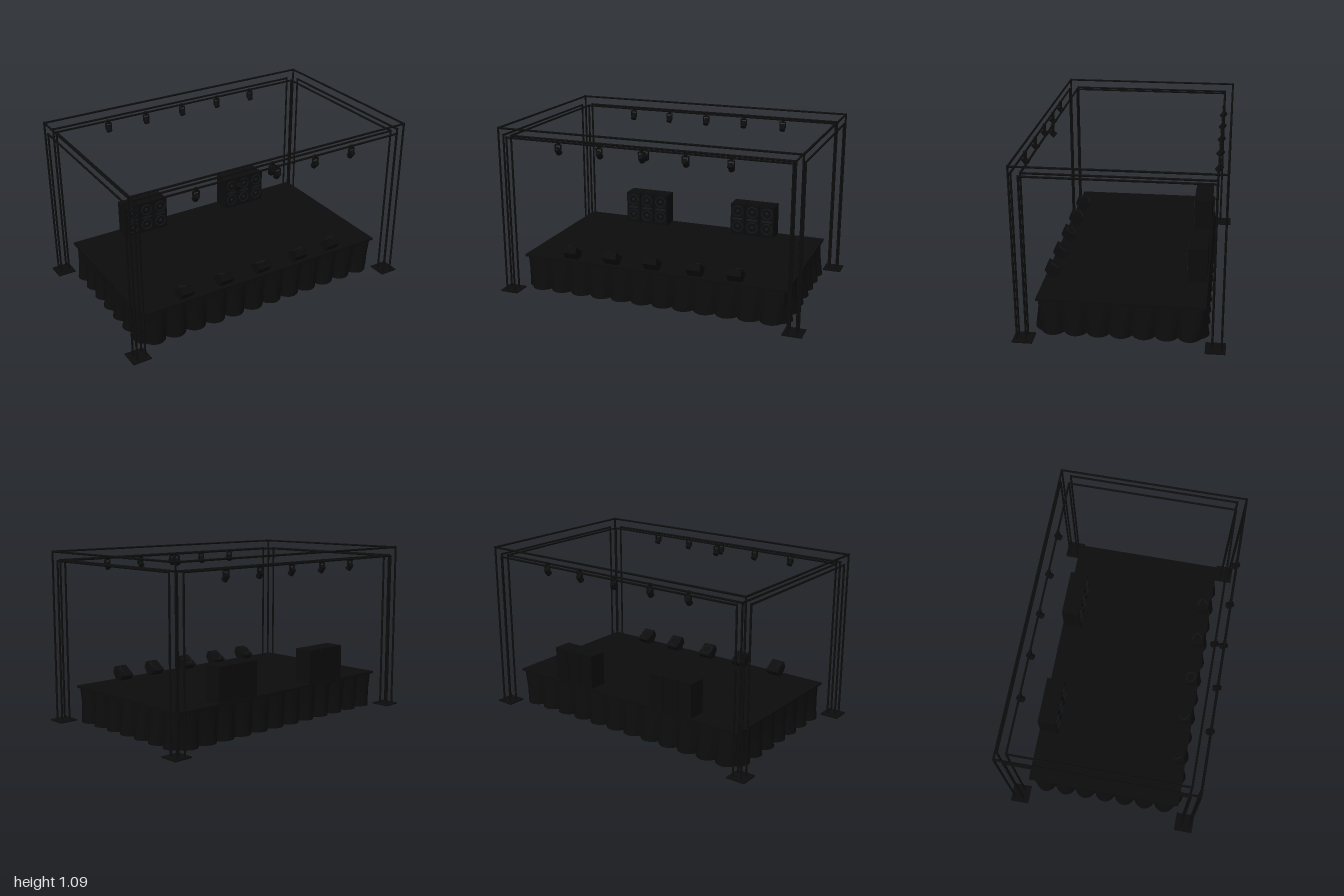
import * as THREE from 'three';

const black = new THREE.MeshStandardMaterial({ color: 0x0c0c0c });
const cloth = new THREE.MeshStandardMaterial({ color: 0x0c0c0c, side: THREE.DoubleSide });
const dark = new THREE.MeshStandardMaterial({ color: 0x14181c });
const grey = new THREE.MeshStandardMaterial({ color: 0xcccccc });

function add(parent, name, geometry, material, x = 0, y = 0, z = 0) {
  const mesh = new THREE.Mesh(geometry, material);
  mesh.name = name;
  mesh.position.set(x, y, z);
  parent.add(mesh);
  return mesh;
}

function group(parent, name, x = 0, y = 0, z = 0) {
  const g = new THREE.Group();
  g.name = name;
  g.position.set(x, y, z);
  parent.add(g);
  return g;
}

// Straight round bar between two points
function bar(parent, name, a, b, r = 0.0065) {
  const p = new THREE.Vector3(...a), q = new THREE.Vector3(...b);
  const dir = q.clone().sub(p);
  const mesh = add(parent, name, new THREE.CylinderGeometry(r, r, dir.length(), 10), black);
  mesh.position.copy(p).add(q).multiplyScalar(0.5);
  mesh.quaternion.setFromUnitVectors(new THREE.Vector3(0, 1, 0), dir.normalize());
}

// Pleated cloth around the platform, flaring toward the hem
function skirtGeometry() {
  const hx = 0.87, hz = 0.5, rows = 4, perPleat = 10;
  const sides = [
    { n: 12, at: (s, o, e) => [s * (hx + e), hz + o] },
    { n: 7, at: (s, o, e) => [hx + o, -s * (hz + e)] },
    { n: 12, at: (s, o, e) => [-s * (hx + e), -hz - o] },
    { n: 7, at: (s, o, e) => [-hx - o, s * (hz + e)] },
  ];
  const pos = [], index = [];
  for (const { n, at } of sides) {
    const cols = n * perPleat, start = pos.length / 3;
    for (let r = 0; r <= rows; r++) {
      const t = r / rows;
      for (let c = 0; c <= cols; c++) {
        const wave = Math.pow(Math.abs(Math.sin((c / perPleat) * Math.PI)), 0.7);
        const trough = -0.01 - 0.015 * t;
        const [x, z] = at((2 * c) / cols - 1, trough + 0.05 * t * wave, trough);
        pos.push(x, 0.222 - 0.218 * t, z);
        if (r < rows && c < cols) {
          const a = start + r * (cols + 1) + c, b = a + cols + 1;
          index.push(a, b, a + 1, b, b + 1, a + 1);
        }
      }
    }
  }
  const g = new THREE.BufferGeometry();
  g.setAttribute('position', new THREE.Float32BufferAttribute(pos, 3));
  g.setIndex(index);
  g.computeVertexNormals();
  return g;
}

// Speaker cabinet with two drivers and a horn slot
function speaker(parent, x) {
  const g = group(parent, 'speaker', x, 0.23, -0.435);
  add(g, 'cabinet', new THREE.BoxGeometry(0.1, 0.22, 0.12), black, 0, 0.11, 0);
  for (const y of [0.06, 0.17]) {
    add(g, 'driverRim', new THREE.TorusGeometry(0.036, 0.004, 8, 24), dark, 0, y, 0.06);
    add(g, 'driverDome', new THREE.SphereGeometry(0.014, 12, 8), dark, 0, y, 0.054);
  }
  add(g, 'hornSlot', new THREE.BoxGeometry(0.07, 0.014, 0.004), dark, 0, 0.115, 0.06);
}

// Wedge monitor tilted toward the performers
function monitor(parent, x) {
  const g = group(parent, 'stageMonitor', x);
  const outline = [[0.487, 0.318], [0.4, 0.263], [0.433, 0.229], [0.47, 0.229], [0.503, 0.277]];
  const shape = new THREE.Shape(outline.map(([z, y]) => new THREE.Vector2(-z, y)));
  const geo = new THREE.ExtrudeGeometry(shape, { depth: 0.09, bevelEnabled: false });
  geo.translate(0, 0, -0.045).rotateY(Math.PI / 2);
  add(g, 'wedgeCabinet', geo, black);
  const rim = add(g, 'driverRim', new THREE.TorusGeometry(0.034, 0.003, 8, 24), dark, 0, 0.2905, 0.4435);
  rim.lookAt(0, 0.2905 + 0.87, 0.4435 - 0.55);
}

// Spotlight: clamp, yoke and can aimed along (dy, dz)
function spotlight(parent, x, z, dy, dz) {
  const g = group(parent, 'spotlight', x, 0.972, z);
  add(g, 'clamp', new THREE.BoxGeometry(0.016, 0.022, 0.018), black, 0, 0.05, 0);
  add(g, 'yokeTop', new THREE.BoxGeometry(0.042, 0.005, 0.014), black, 0, 0.038, 0);
  for (const s of [-1, 1]) {
    add(g, 'yokeArm', new THREE.BoxGeometry(0.004, 0.042, 0.012), black, s * 0.019, 0.018, 0);
  }
  const can = add(g, 'can', new THREE.CylinderGeometry(0.017, 0.019, 0.042, 20), black);
  can.quaternion.setFromUnitVectors(new THREE.Vector3(0, -1, 0), new THREE.Vector3(0, dy, dz).normalize());
}

// Round end of a light beam, facing away from its lamp
function beamEnd(parent, x, y, z, ny, nz) {
  const disc = add(parent, 'beamEnd', new THREE.CircleGeometry(0.115, 32), grey, x, y, z);
  disc.lookAt(x, y + ny, z + nz);
}

export function createModel() {
  const model = new THREE.Group();
  model.name = 'concertStage';

  // Platform
  const platform = group(model, 'platform');
  add(platform, 'deck', new THREE.BoxGeometry(1.754, 0.014, 1.004), black, 0, 0.223, 0);
  add(platform, 'skirt', skirtGeometry(), cloth);

  // Truss frame: corner posts, then chords
  const truss = group(model, 'truss');
  const [xo, xi, zo, zi, top, low] = [0.965, 0.91, 0.6, 0.545, 1.083, 1.027];
  for (const sx of [-1, 1]) {
    for (const sz of [-1, 1]) {
      add(truss, 'basePlate', new THREE.BoxGeometry(0.12, 0.008, 0.12), black, sx * 0.94, 0.004, sz * 0.564);
      for (const x of [xo, xi]) for (const z of [zo, zi]) {
        const h = x === xo && z === zo ? top : low;
        bar(truss, 'post', [sx * x, 0, sz * z], [sx * x, h + 0.0065, sz * z]);
      }
    }
  }
  for (const s of [-1, 1]) {
    bar(truss, 'upperChord', [-xo, top, s * zo], [xo, top, s * zo]);
    bar(truss, 'upperChord', [s * xo, top, -zo], [s * xo, top, zo]);
    for (const z of [zo, zi]) bar(truss, 'lowerChord', [-xi, low, s * z], [xi, low, s * z]);
    for (const x of [xo, xi]) bar(truss, 'lowerChord', [s * x, low, -zi], [s * x, low, zi]);
  }

  // Spotlights on both long beams, with their beam ends under the deck
  const lights = group(model, 'lighting');
  [-0.55, -0.275, 0, 0.275, 0.55].forEach((x, i) => {
    const reach = i % 2 ? -0.26 : -0.125;
    spotlight(lights, x, zo, -0.84, reach - zo);
    beamEnd(lights, x, 0.13, reach, -0.75, -0.66);
    spotlight(lights, x, -zi, -0.84, 0.7);
    const steep = i !== 1 && i !== 2;
    beamEnd(lights, x, 0.13, 0.29, steep ? -0.84 : -0.76, steep ? 0.54 : 0.65);
  });
  spotlight(lights, 0, zi, -0.84, -0.85);
  beamEnd(lights, 0, 0.11, -0.38, -0.72, -0.69);

  // Sound equipment
  const sound = group(model, 'soundEquipment');
  for (const centre of [-0.385, 0.4]) {
    for (const k of [-1, 0, 1]) speaker(sound, centre + k * 0.104);
  }
  for (const x of [-0.555, -0.275, 0, 0.285, 0.545]) monitor(sound, x);

  return model;
}
